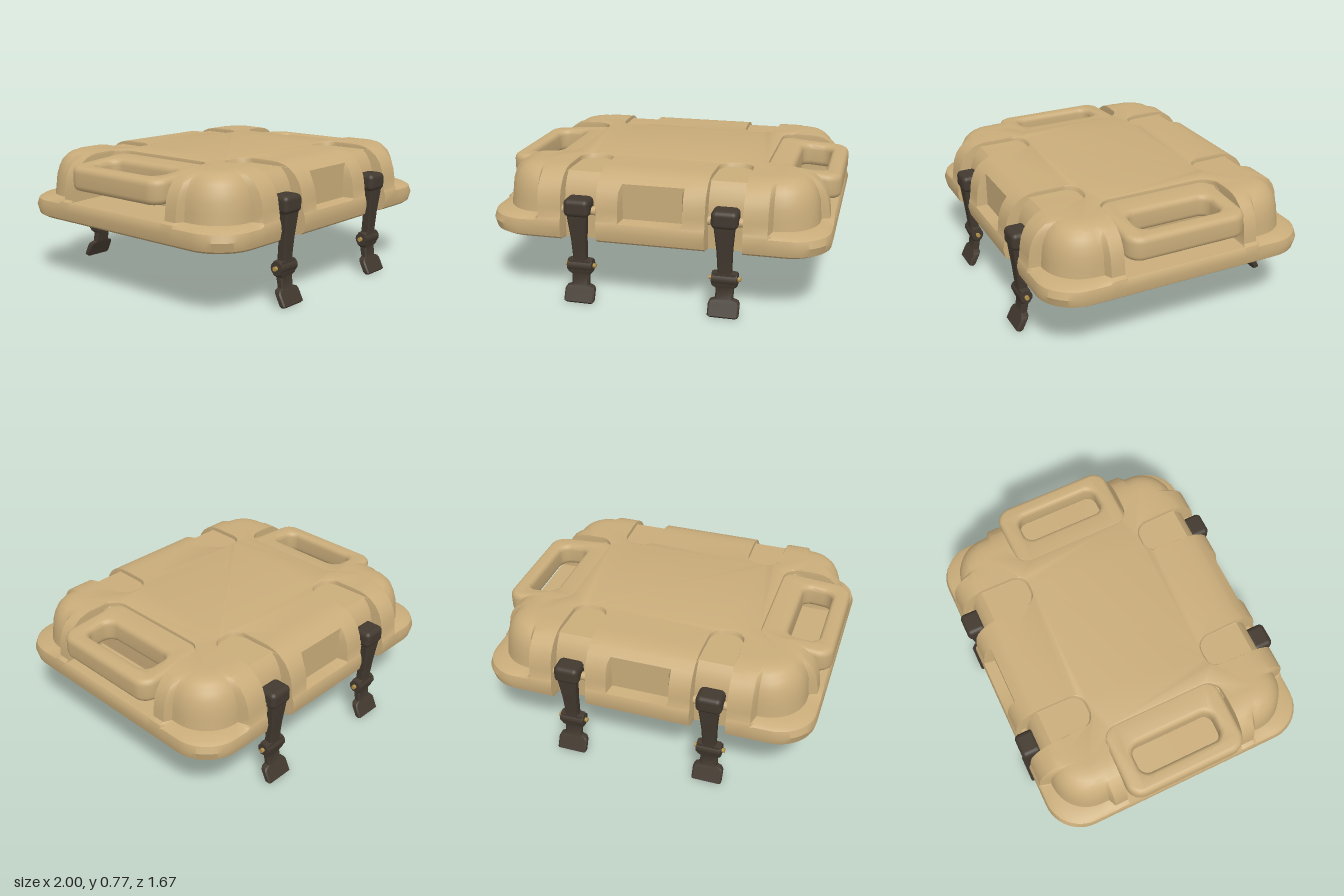
import * as THREE from 'three';
import { toCreasedNormals } from 'three/addons/utils/BufferGeometryUtils.js';
import { RoundedBoxGeometry } from 'three/addons/geometries/RoundedBoxGeometry.js';

const mat = (name, color) => Object.assign(new THREE.MeshStandardMaterial({ color }), { name });

// Closed loft through rings of [x, y, z] points, each counter-clockwise seen from above, listed upwards
function loft(rings, crease = 0.6) {
  const pos = [];
  const tri = (a, b, c) => {
    const [A, B, C] = [a, b, c].map((p) => new THREE.Vector3(...p));
    if (B.sub(A).cross(C.sub(A)).length() > 1e-8) pos.push(...a, ...b, ...c);
  };
  for (let k = 0; k < rings.length - 1; k++) {
    const a = rings[k], b = rings[k + 1];
    a.forEach((p, j) => {
      const n = (j + 1) % a.length;
      tri(p, a[n], b[n]);
      tri(p, b[n], b[j]);
    });
  }
  const cap = (ring, up) => {
    const flat = ring.map((p) => new THREE.Vector2(p[0], -p[2]));
    for (const [i, j, k] of THREE.ShapeUtils.triangulateShape(flat, [])) {
      if (up) tri(ring[i], ring[j], ring[k]);
      else tri(ring[i], ring[k], ring[j]);
    }
  };
  cap(rings[0], false);
  cap(rings[rings.length - 1], true);
  const g = new THREE.BufferGeometry();
  g.setAttribute('position', new THREE.Float32BufferAttribute(pos, 3));
  return toCreasedNormals(g, crease);
}

// Lid profiles: inset from the outer rectangle at each height
const HX = 0.99, HZ = 0.82;
const heights = [.37, .375, .39, .44, .48, .495, .505, .56, .62, .67, .71, .74, .742, .755, .765, .768];
const rib =     [.06, .03, .01, 0, .005, .01, .015, .02, .03, .05, .08, .12, .123, .155, .2, .25];
const corner =  [.06, .03, .01, 0, .01, .03, .08, .085, .09, .105, .125, .155, .158, .18, .215, .26];
const channel = [.09, .09, .09, .09, .09, .09, .09, .09, .10, .115, .14, .17, .44, .445, .45, .46];
const grip =    [.06, .03, .01, 0, .005, .015, .29, .29, .29, .29, .29, .41, .41, .41, .412, .42];

// Rounds the inner corners of a notch; d is the distance to its side
const round = (inset, d, r) => (inset > 0.3 && d < r ? inset - r + Math.sqrt(r * r - (r - d) ** 2) : inset);

function lidRing(k) {
  const q = [];
  const r = rib[k], c = corner[k];
  const panel = k > 5 ? Math.max(r, 0.08) : r;
  q.push([0, HZ - panel], [0.17, HZ - panel]);
  q.push([0.185, HZ - r], [0.25, HZ - r], [0.31, HZ - r]);
  // latch channel
  for (let i = 0; i <= 20; i++) {
    const w = 0.1 * (1 - Math.cos((i / 20) * Math.PI));
    q.push([0.315 + w, HZ - round(channel[k], Math.min(w, 0.2 - w), 0.08)]);
  }
  q.push([0.52, HZ - r], [0.59, HZ - r], [0.655, HZ - r]);
  // rounded corner
  const rad = Math.min(0.22, HX - c - 0.68, HZ - c - 0.48);
  q.push([0.675, HZ - c]);
  for (let i = 0; i <= 12; i++) {
    const a = (i / 12) * Math.PI / 2;
    q.push([HX - c - rad + rad * Math.sin(a), HZ - c - rad + rad * Math.cos(a)]);
  }
  q.push([HX - c, 0.475]);
  // side rib
  const e = r + (k > 5 ? 0.02 : 0);
  q.push([HX - e, 0.455], [HX - e, 0.42], [HX - e, 0.375]);
  // handle recess
  for (let i = 0; i <= 8; i++) {
    const d = 0.09 * (1 - Math.cos((i / 8) * Math.PI / 2));
    q.push([HX - round(grip[k], d, 0.09), 0.37 - d]);
  }
  q.push([HX - grip[k], 0]);
  // mirror the quarter outline all round
  const back = [...q].reverse();
  return [[q, 1, 1], [back, 1, -1], [q, -1, -1], [back, -1, 1]].flatMap(([pts, sx, sz]) =>
    pts.slice(0, -1).map(([x, z]) => [sx * x, heights[k], sz * z]));
}

function roundedRect(target, x0, x1, h, r) {
  target.moveTo(x0 + r, -h);
  target.lineTo(x1 - r, -h);
  target.absarc(x1 - r, -h + r, r, -Math.PI / 2, 0);
  target.lineTo(x1, h - r);
  target.absarc(x1 - r, h - r, r, 0, Math.PI / 2);
  target.lineTo(x0 + r, h);
  target.absarc(x0 + r, h - r, r, Math.PI / 2, Math.PI);
  target.lineTo(x0, -h + r);
  target.absarc(x0 + r, -h + r, r, Math.PI, Math.PI * 1.5);
  return target;
}

// Handle loop, sloping gently down towards the outside
function handleGeometry() {
  const shape = roundedRect(new THREE.Shape(), 0.55, 1.0, 0.368, 0.09);
  shape.holes.push(roundedRect(new THREE.Path(), 0.72, 0.9, 0.26, 0.06));
  const g = new THREE.ExtrudeGeometry(shape, {
    depth: 0.07, bevelThickness: 0.035, bevelSize: 0.03, bevelOffset: -0.03, bevelSegments: 5, curveSegments: 8,
  });
  g.rotateX(-Math.PI / 2).translate(0, 0.642, 0);
  const p = g.attributes.position;
  for (let i = 0; i < p.count; i++) p.setY(i, p.getY(i) - Math.max(0, p.getX(i) - 0.6) * 0.07);
  return toCreasedNormals(g, 0.7);
}

// Strap sections from bottom to top: y, z centre, half width, half thickness
const strapSections = [
  [0, .812, .078, .012], [.012, .815, .088, .021], [.075, .784, .088, .021], [.09, .777, .08, .021],
  [.1, .772, .05, .02], [.16, .762, .05, .022], [.175, .762, .07, .027], [.19, .763, .073, .03],
  [.235, .763, .073, .03], [.25, .764, .07, .028], [.255, .765, .038, .027], [.38, .776, .043, .027],
  [.5, .79, .055, .026], [.54, .793, .06, .025],
];

function buildLatch(dark, tan, brass) {
  const latch = new THREE.Group();
  const add = (name, g, m, y = 0, z = 0) => {
    const mesh = new THREE.Mesh(g, m);
    mesh.name = name;
    mesh.position.set(0, y, z);
    latch.add(mesh);
  };
  const ring = ([y, z, w, t]) => {
    const b = 0.008;
    return [[-w + b, t], [w - b, t], [w, t - b], [w, -t + b], [w - b, -t], [-w + b, -t], [-w, -t + b], [-w, t - b]]
      .map(([x, dz]) => [x, y, z + dz]);
  };
  const rod = (r, len) => new THREE.CylinderGeometry(r, r, len, 16).rotateZ(Math.PI / 2);
  add('latchStrap', loft(strapSections.map(ring)), dark);
  add('latchHook', new RoundedBoxGeometry(0.15, 0.105, 0.125, 4, 0.03), dark, 0.57, 0.768);
  add('hookPin', rod(0.025, 0.2), tan, 0.545, 0.755);
  add('latchKnuckle', rod(0.038, 0.145), dark, 0.215, 0.763);
  add('hingePin', rod(0.013, 0.18), brass, 0.215, 0.763);
  return latch;
}

export function createModel() {
  const tan = mat('tan plastic', 0xc9ac7a);
  const dark = mat('dark latch', 0x42392f);
  const brass = mat('brass pin', 0xb4924a);
  const model = new THREE.Group();
  model.name = 'caseLid';

  const lid = new THREE.Mesh(loft(heights.map((_, k) => lidRing(k))), tan);
  lid.name = 'lidShell';
  model.add(lid);

  // side handles
  const handle = handleGeometry();
  for (const s of [1, -1]) {
    const m = new THREE.Mesh(handle, tan);
    m.name = s > 0 ? 'leftHandle' : 'rightHandle';
    m.rotation.y = s > 0 ? 0 : Math.PI;
    model.add(m);
  }

  // two latches at the front and two at the back
  for (const end of ['front', 'back']) {
    for (const s of [1, -1]) {
      const holder = new THREE.Group();
      const latch = buildLatch(dark, tan, brass);
      latch.position.x = s * 0.42;
      holder.name = end + 'Latch';
      holder.rotation.y = end === 'front' ? 0 : Math.PI;
      holder.add(latch);
      model.add(holder);
    }
  }
  return model;
}
